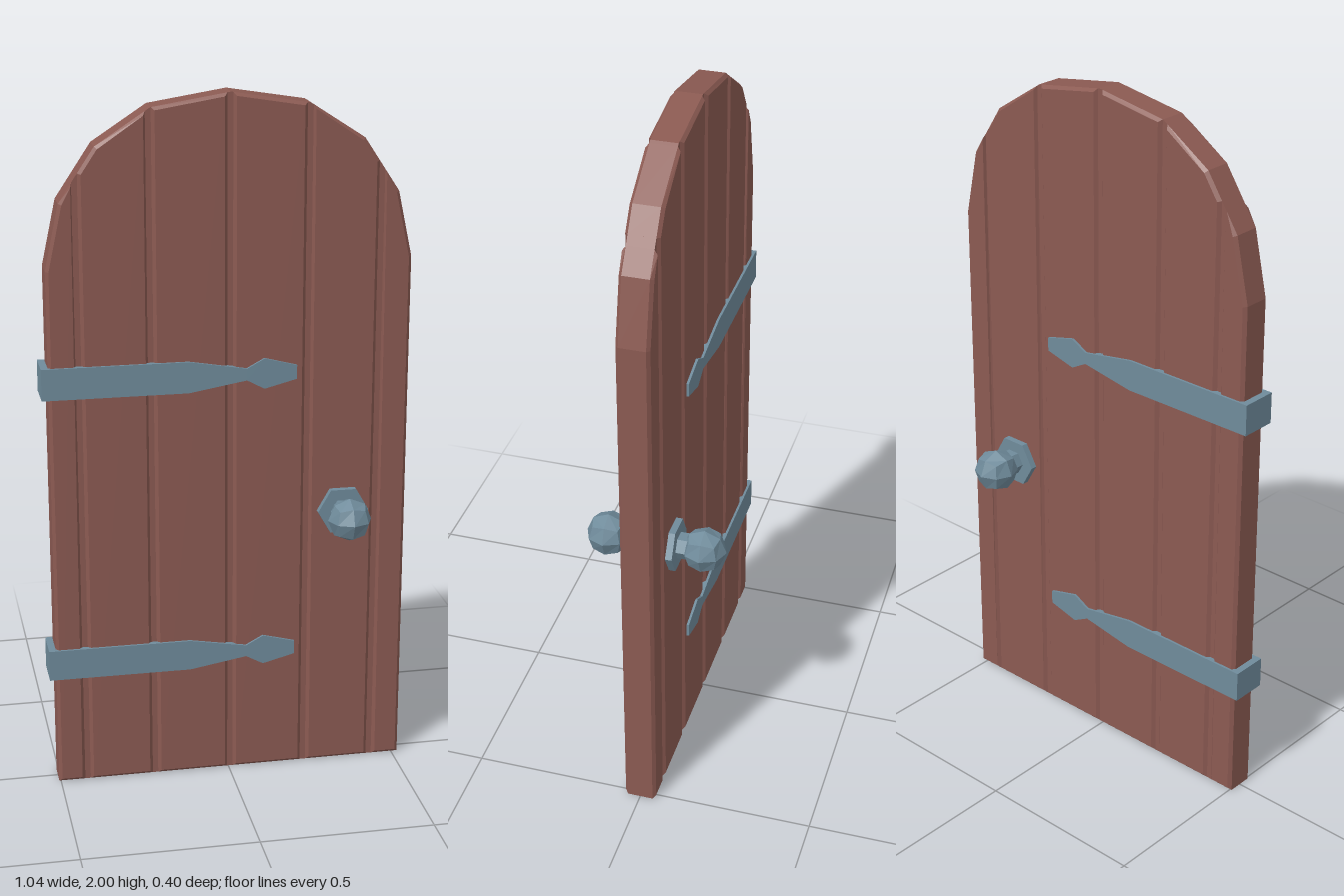
import * as THREE from 'three';

const wood = new THREE.MeshStandardMaterial({ color: 0x8b5a52 });
wood.name = 'reddish wood';
const steel = new THREE.MeshStandardMaterial({ color: 0x6f8b9b });
steel.name = 'blue grey steel';

// Arched top edge of the door, from left edge to right edge of the front view
const ARCH = [
  [-0.505, 1.53], [-0.465, 1.715], [-0.365, 1.865], [-0.212, 1.965], [0.007, 2.0],
  [0.226, 1.965], [0.38, 1.865], [0.479, 1.715], [0.519, 1.53],
];
const GROOVES = [-0.42, -0.219, 0.005, 0.226, 0.43];
const FLOOR = 0.008; // half width of a groove floor
const HALF = 0.046; // half thickness of the planks
const BEVEL = 0.009;

function flat(geometry) {
  const g = geometry.index ? geometry.toNonIndexed() : geometry;
  g.computeVertexNormals();
  return g;
}

function add(parent, name, geometry, material) {
  const mesh = new THREE.Mesh(flat(geometry), material);
  mesh.name = name;
  parent.add(mesh);
  return mesh;
}

function archHeight(x) {
  for (let i = 1; i < ARCH.length; i++) {
    const [x0, y0] = ARCH[i - 1];
    const [x1, y1] = ARCH[i];
    if (x <= x1) return y0 + ((y1 - y0) * (x - x0)) / (x1 - x0);
  }
  return ARCH[ARCH.length - 1][1];
}

const toShape = (points) => new THREE.Shape(points.map(([x, y]) => new THREE.Vector2(x, y)));

// Vertical slice of the arched door between two x positions
function slice(x0, x1) {
  const between = ARCH.filter(([x]) => x > x0 + 1e-4 && x < x1 - 1e-4).reverse();
  return toShape([[x0, 0], [x1, 0], [x1, archHeight(x1)], ...between, [x0, archHeight(x0)]]);
}

// Extrusion centred on z = 0, optionally with chamfered edges
function slab(shape, half, bevel = 0) {
  const depth = 2 * (half - bevel);
  const geometry = new THREE.ExtrudeGeometry(shape, {
    depth, bevelEnabled: bevel > 0, bevelSegments: 1,
    bevelSize: bevel, bevelThickness: bevel, bevelOffset: -bevel,
  });
  return geometry.translate(0, 0, -depth / 2);
}

// Chamfered planks with recessed strips between them
function makePanel() {
  const panel = new THREE.Group();
  panel.name = 'doorPanel';
  let start = ARCH[0][0];
  for (const x of [...GROOVES, null]) {
    const end = x === null ? ARCH[ARCH.length - 1][0] : x - FLOOR;
    add(panel, 'plank', slab(slice(start, end), HALF, BEVEL), wood);
    if (x === null) break;
    start = x + FLOOR;
    add(panel, 'grooveFloor', slab(slice(end, start), HALF - BEVEL), wood);
  }
  return panel;
}

// Hinge strap with spear tip, wrapping around the hinge edge
function makeStrap(y) {
  const lower = [[-0.525, -0.045], [-0.115, -0.045], [0.05, -0.017], [0.1, -0.044], [0.193, -0.02]];
  const upper = lower.map(([x, h]) => [x, -h]).reverse();
  const mesh = new THREE.Mesh(flat(slab(toShape([...lower, ...upper]), 0.053)), steel);
  mesh.name = 'hingeStrap';
  mesh.position.y = y;
  return mesh;
}

// Six-sided post along z, with corners pointing left and right
function hexPost(radius, z0, z1) {
  return new THREE.CylinderGeometry(radius, radius, z1 - z0, 6)
    .rotateY(Math.PI / 6).rotateX(Math.PI / 2).translate(0, 0, (z0 + z1) / 2);
}

// Faceted ball made from a rounded-out cube
function facetedBall(radius, z) {
  const g = new THREE.BoxGeometry(1, 1, 1, 2, 2, 2);
  const p = g.attributes.position;
  const v = new THREE.Vector3();
  for (let i = 0; i < p.count; i++) {
    v.fromBufferAttribute(p, i).setLength(radius);
    p.setXYZ(i, v.x, v.y, v.z);
  }
  return g.translate(0, 0, z);
}

function makeKnob(name) {
  const knob = new THREE.Group();
  knob.name = name;
  add(knob, 'knobPlate', hexPost(0.074, 0.03, 0.065), steel);
  add(knob, 'knobStem', hexPost(0.037, 0.06, 0.105), steel);
  add(knob, 'knobBall', facetedBall(0.063, 0.138), steel);
  knob.position.set(0.331, 0.795, 0);
  return knob;
}

export function createModel() {
  const door = new THREE.Group();
  door.name = 'archedDoor';
  door.add(makePanel());
  for (const y of [1.215, 0.375]) door.add(makeStrap(y));
  const backKnob = makeKnob('backKnob');
  backKnob.rotation.y = Math.PI;
  door.add(makeKnob('frontKnob'), backKnob);
  return door;
}
